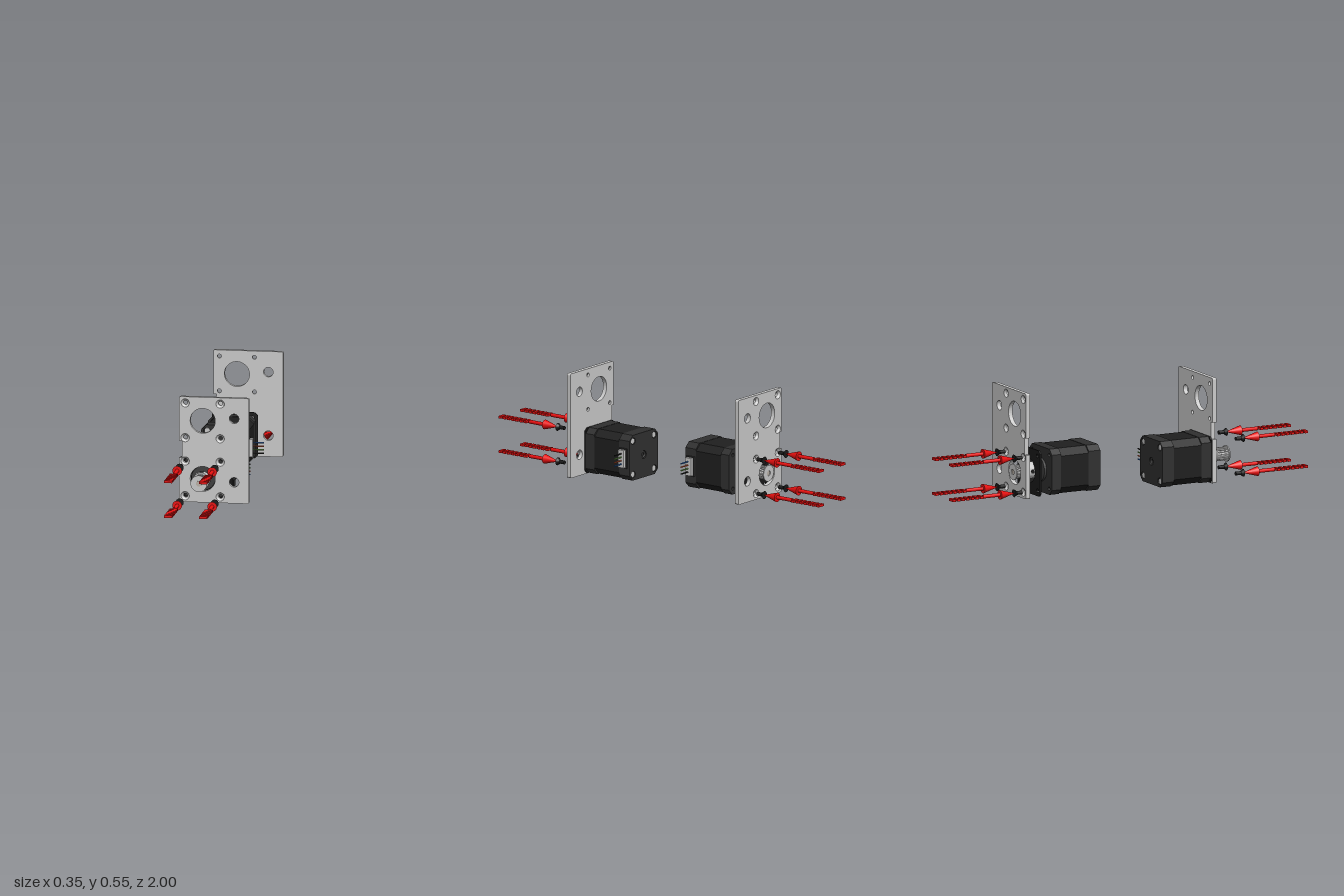
import * as THREE from 'three';

const mat = (color, extra = {}) => new THREE.MeshStandardMaterial({ color, ...extra });
const M = {
  plate: mat(0xc2c2c2), sink: mat(0xc2c2c2, { side: THREE.DoubleSide }),
  cap: mat(0x303030), core: mat(0x1f1f1f), boss: mat(0x3f3f3f), black: mat(0x1a1a1a),
  metal: mat(0xc8c8c8), shaft: mat(0xbab2a8), plug: mat(0xc4c4c0), red: mat(0xea1010),
  green: mat(0x6aa84a), orange: mat(0xd05a35), blue: mat(0x2468c0),
};
const AXIS_X = -0.057, AXIS_Y = 0.1185, UPPER_Y = 0.411, PITCH = 0.0875, THICK = 0.022;
const corners = [[-1, -1], [1, -1], [-1, 1], [1, 1]];

function add(parent, name, geometry, material, x = 0, y = 0, z = 0) {
  const mesh = new THREE.Mesh(geometry, material);
  mesh.name = name;
  mesh.position.set(x, y, z);
  parent.add(mesh);
  return mesh;
}

// Cylinder along z spanning z0..z1, with radius r0 at z0 and r1 at z1
function rod(r0, r1, z0, z1, segments = 32, open = false) {
  return new THREE.CylinderGeometry(r1, r0, z1 - z0, segments, 1, open)
    .rotateX(Math.PI / 2).translate(0, 0, (z0 + z1) / 2);
}

function hole(shape, x, y, r) {
  shape.holes.push(new THREE.Path().absarc(x, y, r, 0, Math.PI * 2, true));
}

function extrude(shape, z0, z1) {
  return new THREE.ExtrudeGeometry(shape, { depth: z1 - z0, bevelEnabled: false, curveSegments: 24 })
    .translate(0, 0, z0);
}

// Square with cut corners, centred on the motor axis
function octagon(half, cut) {
  const k = half - cut;
  return new THREE.Shape([[half, -k], [half, k], [k, half], [-k, half], [-half, k], [-half, -k], [-k, -half], [k, -half]]
    .map(([x, y]) => new THREE.Vector2(x, y)));
}

// Plate outline with rounded corners and a shallow notch on one edge
function plateShape(screwRadius, screws) {
  const s = new THREE.Shape(), l = -0.175, r = 0.174, h = 0.53, c = 0.01;
  s.moveTo(l + c, 0);
  s.lineTo(r - c, 0); s.quadraticCurveTo(r, 0, r, c);
  s.lineTo(r, h - c); s.quadraticCurveTo(r, h, r - c, h);
  s.lineTo(l + c, h); s.quadraticCurveTo(l, h, l, h - c);
  s.lineTo(l, 0.307); s.lineTo(-0.16, 0.307); s.lineTo(-0.16, 0.222); s.lineTo(l, 0.222);
  s.lineTo(l, c); s.quadraticCurveTo(l, 0, l + c, 0);
  hole(s, AXIS_X, AXIS_Y, 0.0625);
  hole(s, AXIS_X, UPPER_Y, 0.0625);
  hole(s, 0.1, 0.106, 0.024);
  hole(s, 0.1, 0.426, 0.024);
  for (const [x, y] of screws) hole(s, x, y, screwRadius);
  return s;
}

// Mounting plate, z = 0 is the middle; side is the direction its countersinks face
function mountingPlate(side) {
  const g = new THREE.Group();
  g.name = 'mountingPlate';
  const screws = [AXIS_Y, UPPER_Y].flatMap(cy => corners.map(([i, j]) => [AXIS_X + i * PITCH, cy + j * PITCH]));
  const t = THICK / 2;
  const wide = extrude(plateShape(0.021, screws), 0, t), narrow = extrude(plateShape(0.01, screws), 0, t);
  add(g, 'plateOuterLayer', wide, M.plate, 0, 0, side > 0 ? 0 : -t);
  add(g, 'plateInnerLayer', narrow, M.plate, 0, 0, side > 0 ? -t : 0);
  const cone = side > 0 ? rod(0.01, 0.021, 0, t, 28, true) : rod(0.021, 0.01, -t, 0, 28, true);
  for (const [x, y] of screws) add(g, 'countersink', cone, M.sink, x, y);
  return g;
}

// Stepper motor on its axis: front face at z = 0, body towards -z
function motor() {
  const g = new THREE.Group();
  g.name = 'motor';
  const face = octagon(0.115, 0.026);
  for (const [i, j] of corners) hole(face, i * 0.085, j * 0.085, 0.009);
  add(g, 'frontCap', extrude(face, -0.052, 0), M.cap);
  add(g, 'motorCore', extrude(octagon(0.1135, 0.034), -0.21, -0.05), M.core);
  const rear = octagon(0.115, 0.026);
  hole(rear, 0, 0, 0.02);
  for (const [i, j] of corners) hole(rear, i * 0.085, j * 0.085, 0.017);
  add(g, 'rearCap', extrude(rear, -0.272, -0.207), M.cap);
  add(g, 'rearBearing', new THREE.TorusGeometry(0.014, 0.005, 8, 28), M.boss, 0, 0, -0.264);
  for (const [i, j] of corners) add(g, 'rearScrew', rod(0.014, 0.014, -0.269, -0.209, 20), M.metal, i * 0.085, j * 0.085);
  add(g, 'boss', rod(0.06, 0.06, -0.002, 0.012, 48), M.boss);
  add(g, 'shaft', rod(0.0135, 0.0135, 0, 0.154, 24), M.shaft);

  // Connector with four wires
  add(g, 'connectorBase', new THREE.BoxGeometry(0.014, 0.1, 0.046), M.cap, 0.118, 0, -0.237);
  add(g, 'connector', new THREE.BoxGeometry(0.024, 0.09, 0.036), M.plug, 0.128, 0, -0.237);
  [M.black, M.green, M.orange, M.blue].forEach((m, i) =>
    add(g, 'wire', new THREE.CylinderGeometry(0.0034, 0.0034, 0.06, 10).rotateZ(Math.PI / 2), m,
      0.165, (1.5 - i) * 0.0175, -0.239));
  return g;
}

// Toothed pulley from z = 0 to z = 0.112
function pulley() {
  const g = new THREE.Group();
  g.name = 'pulley';
  const ring = (r) => {
    const s = new THREE.Shape().absarc(0, 0, r, 0, Math.PI * 2);
    hole(s, 0, 0, 0.0137);
    return s;
  };
  add(g, 'hub', extrude(ring(0.041), 0, 0.042), M.metal);
  const points = [], teeth = 20;
  for (let i = 0; i < teeth; i++) {
    for (const [f, r] of [[0, 0.034], [0.5, 0.034], [0.6, 0.029], [0.9, 0.029]]) {
      const a = (i + f) / teeth * Math.PI * 2;
      points.push(new THREE.Vector2(r * Math.cos(a), r * Math.sin(a)));
    }
  }
  add(g, 'teeth', extrude(new THREE.Shape(points), 0.041, 0.107), M.metal);
  add(g, 'endFlange', extrude(ring(0.041), 0.106, 0.112), M.metal);
  for (const a of [0, Math.PI / 2]) {
    const grub = add(g, 'setScrew', new THREE.CylinderGeometry(0.01, 0.01, 0.004, 16), M.black,
      -0.04 * Math.sin(a), 0.04 * Math.cos(a), 0.021);
    grub.rotation.z = a;
  }
  return g;
}

// Thin square damper with a round opening
function gasket() {
  const s = octagon(0.115, 0.014);
  hole(s, 0, 0, 0.062);
  for (const [i, j] of corners) hole(s, i * PITCH, j * PITCH, 0.01);
  return extrude(s, -0.004, 0.004);
}

// Countersunk screw with a direction arrow and a dashed tail behind it
function screwAndArrow() {
  const g = new THREE.Group();
  g.name = 'screwWithArrow';
  add(g, 'screwShank', rod(0.0095, 0.0095, 0.602, 0.636, 16), M.black);
  add(g, 'screwHead', rod(0.0095, 0.02, 0.631, 0.645, 24), M.black);
  add(g, 'arrowHead', rod(0.002, 0.024, 0.646, 0.725, 28), M.red);
  add(g, 'arrowShaft', rod(0.0095, 0.0095, 0.72, 0.82, 16), M.red);
  for (let i = 0; i < 7; i++)
    add(g, 'tailDash', new THREE.BoxGeometry(0.04, 0.012, 0.017), M.red, 0, 0, 0.8355 + i * 0.026);
  return g;
}

// One motor assembly; side +1 faces front, -1 faces back
function assembly({ name, side, lift, plateZ, motorZ, gasketZ, pulleyZ }) {
  const g = new THREE.Group();
  g.name = name;
  g.position.y = lift;
  const plate = mountingPlate(side);
  plate.position.z = side * plateZ;
  g.add(plate);
  const place = (part, dx, dy, z) => {
    part.position.set(AXIS_X + dx, AXIS_Y + dy, side * z);
    if (side < 0) part.rotation.x = Math.PI;
    g.add(part);
  };
  place(motor(), 0, 0, motorZ);
  place(pulley(), 0, 0, pulleyZ);
  place(add(g, 'gasket', gasket(), M.black), 0, 0, gasketZ);
  for (const [i, j] of corners) place(screwAndArrow(), i * PITCH, j * PITCH, 0);
  return g;
}

export function createModel() {
  const model = new THREE.Group();
  model.name = 'motorMountAssembly';
  model.add(assembly({ name: 'frontAssembly', side: 1, lift: 0, plateZ: 0.467, motorZ: 0.448, gasketZ: 0.452, pulleyZ: 0.488 }));
  model.add(assembly({ name: 'backAssembly', side: -1, lift: 0.023, plateZ: 0.582, motorZ: 0.446, gasketZ: 0.509, pulleyZ: 0.492 }));
  return model;
}
